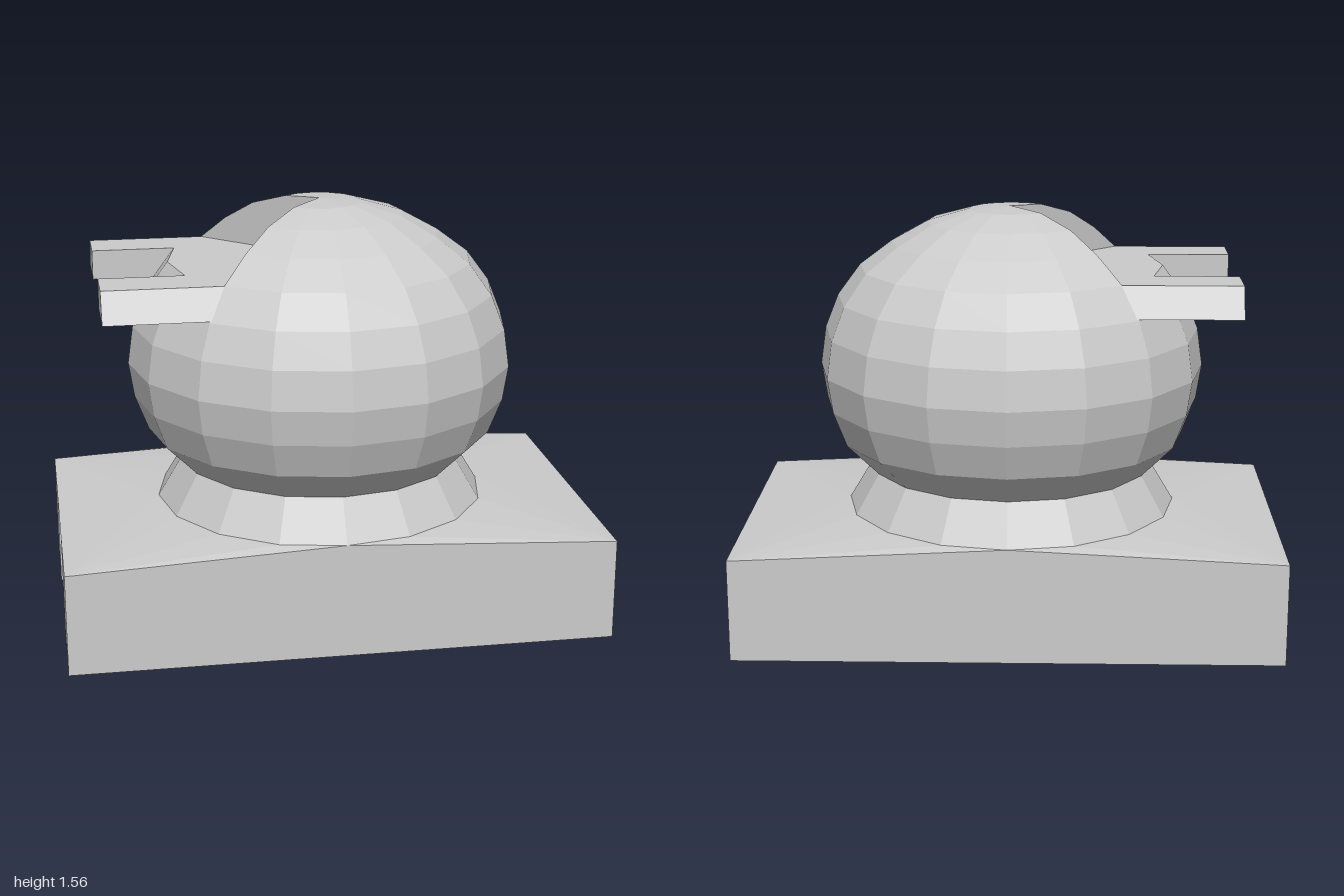
import * as THREE from 'three';

const SIDES = 16;
const CUT_Y = 1.34;

// [radius, height] rings, bottom to top
const neckProfile = [[0.62, 0.43], [0.53, 0.58]];
const lowerProfile = [[0.53, 0.58], [0.65, 0.7], [0.7, 0.83], [0.72, 0.96], [0.7, 1.1], [0.65, 1.225], [0.565, CUT_Y]];
const upperProfile = [[0.565, CUT_Y], [0.445, 1.43], [0.31, 1.505], [0.155, 1.55], [0, 1.56]];

const toPoints = (list) => list.map(([x, y]) => new THREE.Vector2(x, y));

// Sloping sheet joining the rectangular base to the round foot of the neck
function deckGeometry(hx, hz, y0, radius, y1) {
  const pos = [];
  const ring = (i) => {
    const a = (i / SIDES) * Math.PI * 2;
    return [radius * Math.sin(a), y1, radius * Math.cos(a)];
  };
  const corners = [[hx, y0, hz], [hx, y0, -hz], [-hx, y0, -hz], [-hx, y0, hz]];
  const quarter = SIDES / 4;
  for (let q = 0; q < 4; q++) {
    const corner = corners[q];
    for (let i = q * quarter; i < (q + 1) * quarter; i++) {
      pos.push(...corner, ...ring(i + 1), ...ring(i));
    }
    pos.push(...ring(q * quarter), ...corners[(q + 3) % 4], ...corner);
  }
  const g = new THREE.BufferGeometry();
  g.setAttribute('position', new THREE.Float32BufferAttribute(pos, 3));
  g.computeVertexNormals();
  return g;
}

export function createModel() {
  const model = new THREE.Group();
  model.name = 'domeOnBase';
  const solid = new THREE.MeshStandardMaterial({ color: 0xcccccc, flatShading: true });
  const sheet = new THREE.MeshStandardMaterial({ color: 0xcccccc, flatShading: true, side: THREE.DoubleSide });

  const add = (name, geometry, material = solid) => {
    const mesh = new THREE.Mesh(geometry, material);
    mesh.name = name;
    model.add(mesh);
    return mesh;
  };

  // Base: two long runners, the deck above them and its flat underside
  for (const s of [1, -1]) {
    add(s > 0 ? 'frontRunner' : 'backRunner', new THREE.BoxGeometry(2, 0.38, 0.38).translate(0, 0.19, s * 0.43));
  }
  add('deck', deckGeometry(1, 0.62, 0.38, 0.62, 0.43));
  add('deckUnderside', new THREE.PlaneGeometry(2, 0.48).rotateX(Math.PI / 2).translate(0, 0.38, 0));

  // Neck and faceted dome; the upper part leaves a quarter open towards -x
  add('neck', new THREE.LatheGeometry(toPoints(neckProfile), SIDES));
  add('lowerDome', new THREE.LatheGeometry(toPoints(lowerProfile), SIDES));
  add('upperDome', new THREE.LatheGeometry(toPoints(upperProfile), SIDES * 0.75, Math.PI * 1.75, Math.PI * 1.5));

  // Floor of the open quarter
  add('notchFloor', new THREE.CircleGeometry(0.565, SIDES / 4, Math.PI * 0.75, Math.PI / 2)
    .rotateX(-Math.PI / 2).translate(0, CUT_Y, 0));

  // Upright walls of the open quarter
  const wall = new THREE.Shape(toPoints([[0, CUT_Y], ...upperProfile]));
  for (const s of [1, -1]) {
    add(s > 0 ? 'frontNotchWall' : 'backNotchWall',
      new THREE.ShapeGeometry(wall).rotateY(-s * Math.PI * 0.75), sheet);
  }

  // Two arms with sloping outer sides, reaching out towards -x
  for (const s of [1, -1]) {
    const section = new THREE.Shape(toPoints([
      [s * 0.22, CUT_Y], [s * 0.4, CUT_Y], [s * 0.46, 1.23], [s * 0.22, 1.23],
    ]));
    add(s > 0 ? 'frontArm' : 'backArm',
      new THREE.ExtrudeGeometry(section, { depth: 0.43, bevelEnabled: false })
        .translate(0, 0, 0.4).rotateY(-Math.PI / 2));
  }

  return model;
}
